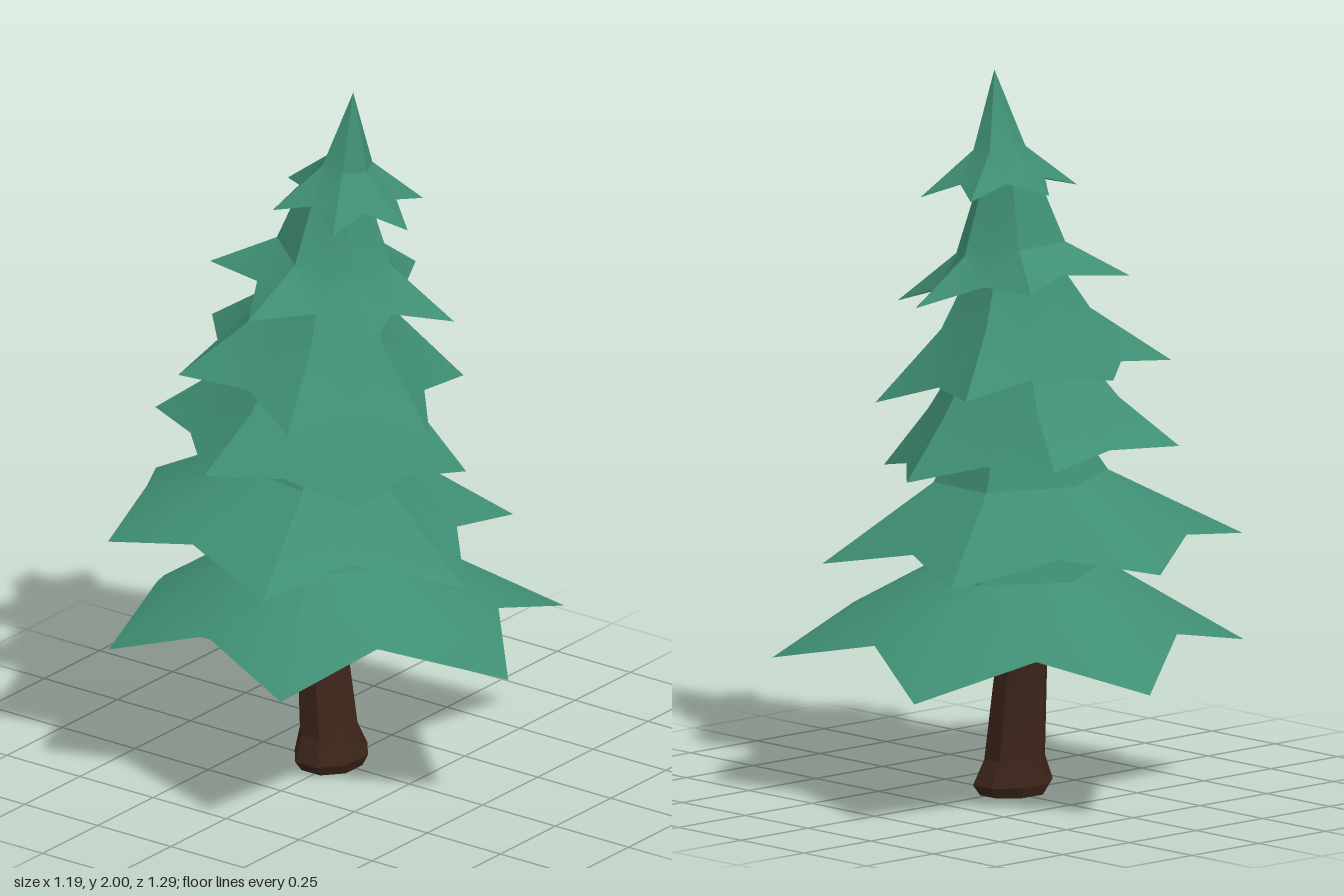
import * as THREE from 'three';
import { toCreasedNormals } from 'three/addons/utils/BufferGeometryUtils.js';

const green = new THREE.MeshStandardMaterial({ color: 0x3f8e74 });
const brown = new THREE.MeshStandardMaterial({ color: 0x3b2419 });

// Skin over rings listed from top to bottom; a one-point ring closes the end.
function loft(rings, crease) {
  const pos = [];
  const tri = (...corners) => corners.forEach((c) => pos.push(...c));
  for (let k = 0; k < rings.length - 1; k++) {
    const up = rings[k], low = rings[k + 1];
    const n = Math.max(up.length, low.length);
    for (let i = 0; i < n; i++) {
      const a = up[i % up.length], b = up[(i + 1) % up.length];
      const c = low[(i + 1) % low.length], d = low[i % low.length];
      if (up.length === 1) tri(a, c, d);
      else if (low.length === 1) tri(a, b, c);
      else if (i % 2 === 0) tri(a, b, c, a, c, d); // diagonals mirror about each tip
      else tri(a, b, d, b, c, d);
    }
  }
  const g = new THREE.BufferGeometry();
  g.setAttribute('position', new THREE.Float32BufferAttribute(pos, 3));
  return toCreasedNormals(g, crease);
}

// Skirts from the ground up. Each has a six-sided top and mid ring (height, radius),
// and a six-pointed rim: tip and valley height and radius, valley shift along z,
// turn in degrees, centre x and z, and the slope of the whole skirt along x and z.
const tiers = [
  { topY: 0.76, topR: 0.18, midY: 0.635, midR: 0.25, midZ: -0.02, tipY: 0.4, tipR: 0.648,
    valleyY: 0.49, valleyR: 0.48, valleyZ: -0.03, turn: -23.5, x: 0, z: 0, sx: -0.05, sz: 0.04 },
  { topY: 0.99, topR: 0.18, midY: 0.885, midR: 0.24, midZ: -0.04, tipY: 0.685, tipR: 0.578,
    valleyY: 0.74, valleyR: 0.435, valleyZ: -0.03, turn: -24, x: -0.025, z: -0.07, sx: -0.04, sz: -0.03 },
  { topY: 1.21, topR: 0.19, midY: 1.09, midR: 0.28, midZ: -0.05, tipY: 0.945, tipR: 0.434,
    valleyY: 0.97, valleyR: 0.345, valleyZ: 0, turn: 5, x: -0.02, z: -0.073, sx: -0.045, sz: -0.125 },
  { topY: 1.46, topR: 0.125, midY: 1.32, midR: 0.205, midZ: -0.02, tipY: 1.145, tipR: 0.407,
    valleyY: 1.175, valleyR: 0.29, valleyZ: 0, turn: -24, x: -0.024, z: -0.035, sx: -0.03, sz: -0.165 },
  { topY: 1.7, topR: 0.09, midY: 1.515, midR: 0.16, midZ: 0, tipY: 1.4, tipR: 0.341,
    valleyY: 1.43, valleyR: 0.215, valleyZ: 0, turn: 5, x: -0.02, z: 0, sx: -0.03, sz: -0.18 },
  { topY: 2, topR: 0, midY: 1.785, midR: 0.072, midZ: 0.045, tipY: 1.665, tipR: 0.217,
    valleyY: 1.7, valleyR: 0.135, valleyZ: 0, turn: -26, x: -0.008, z: 0.045, sx: 0, sz: -0.09 },
];

// One star-shaped skirt of branches
function tierGeometry(t) {
  const ring = (cx, cz, point) => Array.from({ length: 12 }, (_, i) => {
    const a = THREE.MathUtils.degToRad(t.turn + i * 30);
    const [y, r, shift] = point(i % 2 === 0);
    const dx = r * Math.cos(a), dz = r * Math.sin(a) + shift;
    return [cx + dx, y + t.sx * dx + t.sz * dz, cz + dz];
  });
  // hexagon with corners in line with the tips
  const hexagon = (cx, y, r) =>
    ring(cx, t.midZ, (tip) => [y, tip ? r : r * Math.cos(Math.PI / 6), 0]);
  const rim = ring(t.x, t.z, (tip) => (tip ? [t.tipY, t.tipR, 0] : [t.valleyY, t.valleyR, t.valleyZ]));
  const under = [[-0.01, t.valleyY + 0.02, t.midZ]];
  // the skirt with no top radius ends in the pointed treetop
  const crown = t.topR === 0
    ? [[[-0.01, t.topY, t.midZ + 0.02]]]
    : [[[0, t.topY, t.midZ]], hexagon(0, t.topY, t.topR)];
  return loft([...crown, hexagon(-0.01, t.midY, t.midR), rim, under], 0.45);
}

// Leaning eight-sided trunk with a flared foot
function trunkGeometry() {
  const section = (y, z, rx, rz) => Array.from({ length: 8 }, (_, i) => {
    const a = ((i + 0.5) / 8) * Math.PI * 2;
    return [-0.006 + rx * Math.cos(a), y, z + rz * Math.sin(a)];
  });
  return loft([
    [[0, 0.6, -0.07]],
    section(0.6, -0.07, 0.068, 0.054),
    section(0.1, -0.02, 0.092, 0.08),
    section(0.03, -0.013, 0.124, 0.097),
    section(0, -0.013, 0.1, 0.085),
    [[0, 0, -0.013]],
  ], 0.3);
}

export function createModel() {
  const tree = new THREE.Group();
  tree.name = 'pineTree';
  const trunk = new THREE.Mesh(trunkGeometry(), brown);
  trunk.name = 'trunk';
  tree.add(trunk);
  tiers.forEach((spec, i) => {
    const skirt = new THREE.Mesh(tierGeometry(spec), green);
    skirt.name = `branchTier${i + 1}`;
    tree.add(skirt);
  });
  return tree;
}
